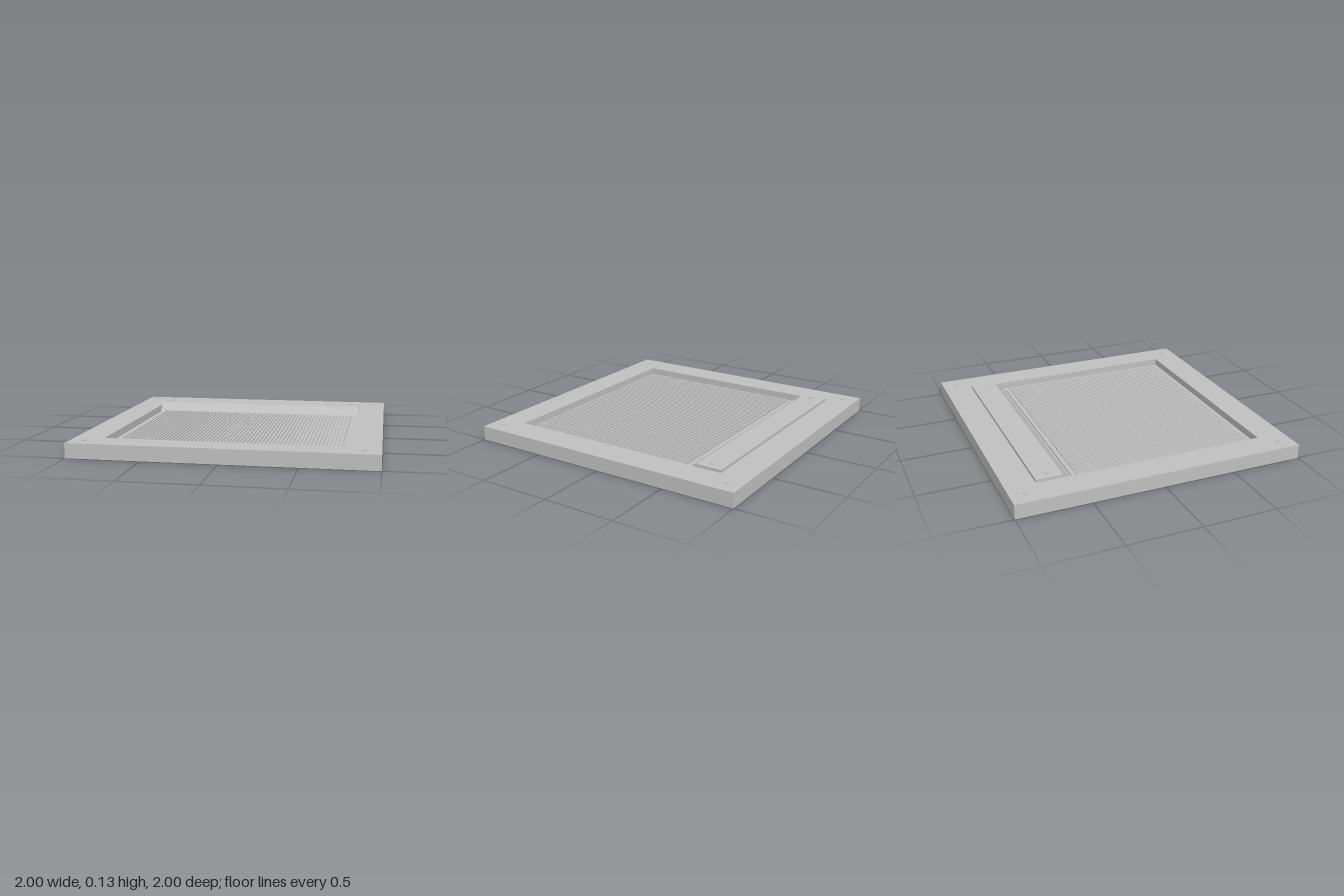
import * as THREE from 'three';

export function createModel() {
  const model = new THREE.Group();
  model.name = 'ribbedTray';
  const grey = new THREE.MeshStandardMaterial({ color: 0xc0c0c0 });
  grey.name = 'plain grey';

  const add = (name, geometry, x = 0, y = 0, z = 0, parent = model) => {
    const mesh = new THREE.Mesh(geometry, grey);
    mesh.name = name;
    mesh.position.set(x, y, z);
    parent.add(mesh);
    return mesh;
  };
  const square = (Type, h) => new Type(
    [[-h, -h], [h, -h], [h, h], [-h, h]].map(([x, y]) => new THREE.Vector2(x, y)));

  // Square surround with an open centre
  const outline = square(THREE.Shape, 1);
  outline.holes.push(square(THREE.Path, 0.8));
  const frame = new THREE.ExtrudeGeometry(outline, { depth: 0.1, bevelEnabled: false });
  frame.rotateX(-Math.PI / 2);
  add('frame', frame);

  // Sunken floor inside the surround
  add('floor', new THREE.BoxGeometry(1.6, 0.05, 1.6), 0, 0.025, 0);

  // Raised cover at the back, sloping down to the floor; profile is (z, y)
  const profile = new THREE.Shape(
    [[-0.55, 0.05], [-0.62, 0.12], [-0.8, 0.12], [-0.8, 0.05]]
      .map(([z, y]) => new THREE.Vector2(-z, y)));
  const cover = new THREE.ExtrudeGeometry(profile, { depth: 1.6, bevelEnabled: false });
  cover.translate(0, 0, -0.8);
  cover.rotateY(Math.PI / 2);
  add('slopedCover', cover);

  // Tread plate with lengthwise ribs
  add('treadPlate', new THREE.BoxGeometry(1.5, 0.01, 1.3), 0, 0.055, 0.11);
  const ribs = new THREE.Group();
  ribs.name = 'ribs';
  model.add(ribs);
  const count = 60, pitch = 1.5 / count;
  const rib = new THREE.BoxGeometry(pitch / 2, 0.01, 1.27);
  for (let i = 0; i < count; i++) {
    add('rib', rib, -0.75 + (i + 0.5) * pitch, 0.065, 0.125, ribs);
  }

  // Low screw heads at the frame corners and cover ends
  const screw = new THREE.CylinderGeometry(0.015, 0.015, 0.006, 16);
  for (const side of [-1, 1]) {
    for (const end of [-1, 1]) add('frameScrew', screw, side * 0.9, 0.103, end * 0.9);
    add('coverScrew', screw, side * 0.74, 0.123, -0.71);
  }

  return model;
}
